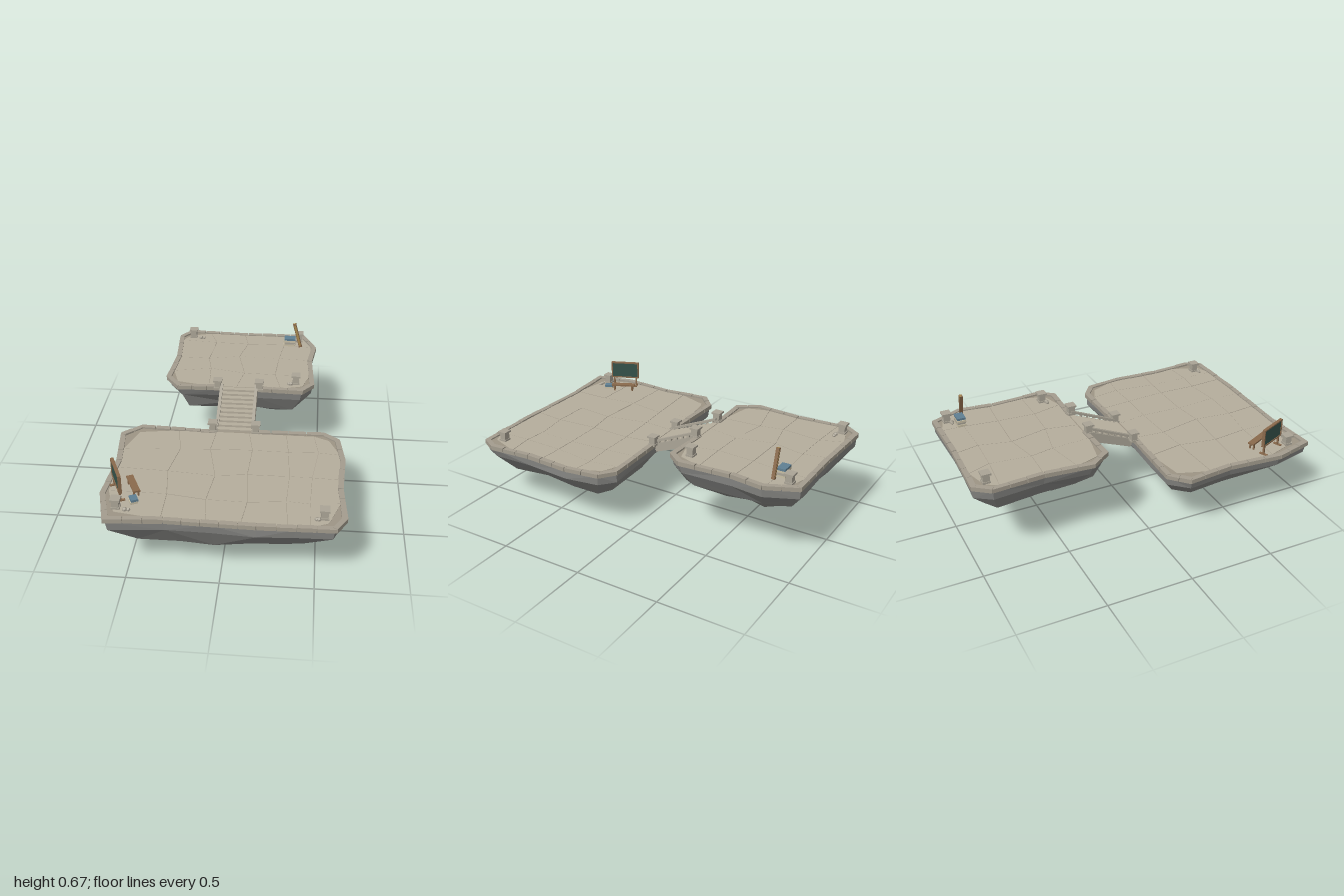
import * as THREE from 'three';

const mat = (color, extra = {}) => new THREE.MeshStandardMaterial({ color, flatShading: true, roughness: 0.9, ...extra });
const M = {
  rock: mat(0x858582), floor: mat(0xb5ad9c), rim: mat(0xa39c8e), joint: mat(0x9d9585),
  stone: mat(0xaaa496), wood: mat(0x8a6a4c), board: mat(0x35524a), blue: mat(0x5f7f92),
  page: mat(0xc8bfa5), gold: mat(0xa98a4e),
};

// Small seeded generator, returns -1..1
let seed = 7;
const rnd = () => {
  seed = (seed * 16807) % 2147483647;
  return (seed / 2147483647) * 2 - 1;
};

function add(parent, name, geo, material, x = 0, y = 0, z = 0) {
  const m = new THREE.Mesh(geo, material);
  m.name = name;
  m.position.set(x, y, z);
  parent.add(m);
  return m;
}
const box = (parent, name, w, h, d, material, x, y, z) =>
  add(parent, name, new THREE.BoxGeometry(w, h, d), material, x, y, z);

// Flat slab from a plan of [x, z] points
function slab(pts, y0, y1) {
  const s = new THREE.Shape(pts.map(([x, z]) => new THREE.Vector2(x, -z)));
  return new THREE.ExtrudeGeometry(s, { depth: y1 - y0, bevelEnabled: false }).rotateX(-Math.PI / 2).translate(0, y0, 0);
}

// Plate from a side profile of [z, y] points, spanning x0..x1
function sidePlate(pts, x0, x1) {
  const s = new THREE.Shape(pts.map(([z, y]) => new THREE.Vector2(-z, y)));
  return new THREE.ExtrudeGeometry(s, { depth: x1 - x0, bevelEnabled: false }).rotateY(Math.PI / 2).translate(x0, 0, 0);
}

const mix = (a, b, t) => [a[0] + (b[0] - a[0]) * t, a[1] + (b[1] - a[1]) * t];

// Split every edge of an outline into pieces of about the given length
function resample(outline, step) {
  return outline.flatMap((p, i) => {
    const q = outline[(i + 1) % outline.length];
    const n = Math.max(1, Math.round(Math.hypot(q[0] - p[0], q[1] - p[1]) / step));
    return Array.from({ length: n }, (_, k) => mix(p, q, k / n));
  });
}

// Faceted hanging rock: rings shrinking toward a tip
function rockGeometry(outline, tip, rings) {
  const plan = resample(outline, 0.22), n = plan.length, pos = [], idx = [];
  rings.forEach(([scale, y, jitter]) => plan.forEach((p) => {
    const k = scale * (1 + rnd() * jitter);
    const [x, z] = mix([tip[0], tip[2]], p, k);
    pos.push(x, y + rnd() * jitter * 0.14, z);
  }));
  pos.push(...tip);
  const last = rings.length - 1;
  for (let i = 0; i < n; i++) {
    const j = (i + 1) % n;
    for (let r = 0; r < last; r++) {
      const a = r * n + i, b = r * n + j, c = a + n, d = b + n;
      if ((i + r) % 2) idx.push(a, b, c, b, d, c);
      else idx.push(a, b, d, a, d, c);
    }
    idx.push(last * n + i, last * n + j, rings.length * n);
  }
  const g = new THREE.BufferGeometry();
  g.setAttribute('position', new THREE.Float32BufferAttribute(pos, 3));
  g.setIndex(idx);
  const flat = g.toNonIndexed();
  flat.computeVertexNormals();
  return flat;
}

// Irregular paving: a jittered grid of slabs, border nodes kept on the edge
function paving(parent, xs, zs, y) {
  const nx = xs.length - 1, nz = zs.length - 1;
  const node = xs.map((x, i) => zs.map((z, j) => {
    const ex = i === 0 || i === nx, ez = j === 0 || j === nz;
    if (ex && ez) return [x * 0.9, z + (j ? -0.04 : 0.04)];
    return [x + (ex ? 0 : rnd() * 0.035), z + (ez ? 0 : rnd() * 0.03)];
  }));
  for (let i = 0; i < nx; i++) for (let j = 0; j < nz; j++) {
    const c = [node[i][j], node[i + 1][j], node[i + 1][j + 1], node[i][j + 1]];
    const mid = mix(mix(c[0], c[2], 0.5), mix(c[1], c[3], 0.5), 0.5);
    add(parent, 'pavingSlab', slab(c.map((p) => mix(p, mid, 0.012)), y - 0.004, y + 0.001 + rnd() * 0.0008), M.floor);
  }
}

function island(name, o) {
  const g = new THREE.Group();
  g.name = name;
  add(g, 'rock', rockGeometry(o.outline, o.tip, o.rings), M.rock);
  const centre = [0, o.cz];
  add(g, 'floor', slab(o.outline.map((p) => mix(p, centre, 0.025)), o.top - 0.03, o.top - 0.009), M.joint);
  paving(g, o.xs, o.zs, o.top - 0.008);
  // Kerb stones, left out at the mouth of the stairs
  const edge = resample(o.outline, 0.095);
  edge.forEach((p, i) => {
    const q = edge[(i + 1) % edge.length];
    if (Math.abs(p[0] + q[0]) / 2 < 0.11 && p[1] > -0.25 && p[1] < 0.1) return;
    const len = Math.hypot(q[0] - p[0], q[1] - p[1]);
    const n = [-(q[1] - p[1]) / len, (q[0] - p[0]) / len];
    const a = mix(p, q, 0.02), b = mix(p, q, 0.98), w = 0.03 + rnd() * 0.002;
    const inner = (v) => [v[0] + n[0] * w, v[1] + n[1] * w];
    add(g, 'kerbStone', slab([a, b, inner(b), inner(a)], o.top - 0.025, o.top + rnd() * 0.002), M.rim);
  });
  // Square posts with caps; corner posts have pebbles beside them
  o.posts.forEach(([x, z, pebbleSide]) => {
    const post = new THREE.Group();
    post.name = 'post';
    post.position.set(x, o.top - 0.008, z);
    box(post, 'postBase', 0.046, 0.012, 0.046, M.stone, 0, 0.006, 0);
    box(post, 'postShaft', 0.038, 0.05, 0.038, M.stone, 0, 0.027, 0);
    box(post, 'postCap', 0.054, 0.011, 0.054, M.stone, 0, 0.056, 0);
    if (pebbleSide) [[0.05, 0.014], [0.07, 0.011]].forEach(([d, r]) =>
      add(post, 'pebble', new THREE.DodecahedronGeometry(r), M.stone, d * pebbleSide, 0.006, 0.022));
    g.add(post);
  });
  return g;
}

export function createModel() {
  const model = new THREE.Group();
  model.name = 'floatingIslands';

  model.add(island('lowerIsland', {
    outline: [[0.65, 0.34], [0.635, 0.62], [0.655, 0.88], [0.6, 0.975], [0.19, 0.985], [-0.29, 0.975], [-0.6, 1],
      [-0.66, 0.77], [-0.635, 0.45], [-0.665, 0.17], [-0.56, 0.07], [-0.11, 0.085], [0.11, 0.07], [0.53, 0.06], [0.62, 0.13]],
    cz: 0.53, top: 0.38, tip: [0.03, 0, 0.58],
    rings: [[0.98, 0.358, 0], [0.965, 0.305, 0.02], [0.75, 0.18, 0.07], [0.4, 0.06, 0.1]],
    xs: [-0.62, -0.32, -0.1, 0.11, 0.33, 0.48, 0.62], zs: [0.1, 0.3, 0.52, 0.75, 0.96],
    posts: [[-0.55, 0.88, 1], [0.535, 0.875, -0.6], [-0.13, 0.08, 0], [0.125, 0.08, 0]],
  }));
  model.add(island('upperIsland', {
    outline: [[0.44, -0.6], [0.46, -0.29], [0.39, -0.2], [0.11, -0.21], [-0.11, -0.21], [-0.38, -0.2], [-0.465, -0.32],
      [-0.44, -0.6], [-0.46, -0.9], [-0.39, -0.995], [0, -0.98], [0.38, -0.985], [0.465, -0.8]],
    cz: -0.6, top: 0.505, tip: [0.02, 0.172, -0.63],
    rings: [[0.98, 0.483, 0], [0.95, 0.43, 0.025], [0.8, 0.335, 0.06], [0.45, 0.235, 0.09]],
    xs: [-0.43, -0.22, 0, 0.23, 0.43], zs: [-0.96, -0.82, -0.62, -0.43, -0.23],
    posts: [[-0.365, -0.905, 1], [0.35, -0.905, -0.6], [0.345, -0.31, -0.6], [-0.13, -0.21, 0], [0.125, -0.21, 0]],
  }));

  // Stairs with a sloping underside and side rails
  const stairs = new THREE.Group();
  stairs.name = 'stairs';
  const steps = 10, z0 = 0.085, z1 = -0.225, y0 = 0.37, y1 = 0.498, profile = [[z0, 0.325]];
  for (let i = 0; i < steps; i++) {
    const y = y0 + ((y1 - y0) * (i + 1)) / steps;
    profile.push([z0 + ((z1 - z0) * i) / steps, y], [z0 + ((z1 - z0) * (i + 1)) / steps, y]);
  }
  profile.push([z1, 0.44]);
  add(stairs, 'steps', sidePlate(profile, -0.1, 0.1), M.floor);
  for (const s of [-1, 1]) {
    const x = s * 0.106;
    add(stairs, 'stringer', sidePlate([[0.07, 0.325], [0.07, 0.378], [-0.215, 0.498], [-0.215, 0.435]], x - 0.008, x + 0.008), M.stone);
    add(stairs, 'rail', sidePlate([[0.07, 0.389], [0.07, 0.403], [-0.215, 0.527], [-0.215, 0.513]], x - 0.009, x + 0.009), M.stone);
    for (let i = 0; i < 7; i++) {
      const t = (i + 0.5) / 7;
      box(stairs, 'baluster', 0.012, 0.03, 0.01, M.stone, x, 0.38 + t * 0.122, 0.07 - t * 0.285);
    }
  }
  model.add(stairs);

  // Standing board in a wooden frame; long side runs along local x
  const board = new THREE.Group();
  board.name = 'standingBoard';
  board.position.set(-0.567, 0.373, 0.755);
  board.rotation.y = -1.16;
  box(board, 'panel', 0.17, 0.1, 0.01, M.board, 0, 0.112, 0);
  for (const s of [-1, 1]) {
    box(board, 'frameBar', 0.186, 0.008, 0.018, M.wood, 0, 0.112 + s * 0.051, 0);
    box(board, 'frameSide', 0.008, 0.108, 0.018, M.wood, s * 0.089, 0.112, 0);
    box(board, 'leg', 0.01, 0.062, 0.01, M.wood, s * 0.075, 0.031, 0);
    box(board, 'foot', 0.014, 0.007, 0.05, M.wood, s * 0.075, 0.0035, 0);
  }
  model.add(board);

  // Bench
  const bench = new THREE.Group();
  bench.name = 'bench';
  bench.position.set(-0.487, 0.373, 0.717);
  bench.rotation.y = -1.13;
  box(bench, 'seat', 0.155, 0.01, 0.038, M.wood, 0, 0.038, 0);
  for (const s of [-1, 1]) for (const t of [-1, 1])
    box(bench, 'leg', 0.01, 0.035, 0.008, M.wood, s * 0.06, 0.0175, t * 0.012);
  model.add(bench);

  // Stacks of books
  const books = (x, y, z, w, d, layers, turn) => {
    const g = new THREE.Group();
    g.name = 'bookStack';
    g.position.set(x, y, z);
    g.rotation.y = turn;
    layers.forEach((m, i) => box(g, 'book', w * (1 - 0.03 * (i % 2)), 0.013, d, m, i % 2 ? 0.004 : 0, 0.007 + i * 0.0135, 0));
    model.add(g);
  };
  books(-0.47, 0.373, 0.825, 0.04, 0.05, [M.page, M.blue], 0.45);
  books(0.285, 0.498, -0.84, 0.075, 0.05, [M.page, M.stone, M.page, M.blue], 0);

  // Leaning wooden pole with end bands
  const pole = new THREE.Group();
  pole.name = 'leaningPole';
  pole.position.set(0.338, 0.582, -0.815);
  pole.rotation.z = 0.26;
  box(pole, 'shaft', 0.016, 0.17, 0.014, M.gold, 0, 0, 0);
  for (const s of [-1, 1]) {
    box(pole, 'band', 0.021, 0.01, 0.019, M.wood, 0, s * 0.08, 0);
    box(pole, 'edgeStrip', 0.004, 0.17, 0.018, M.wood, s * 0.008, 0, 0);
  }
  model.add(pole);

  return model;
}
